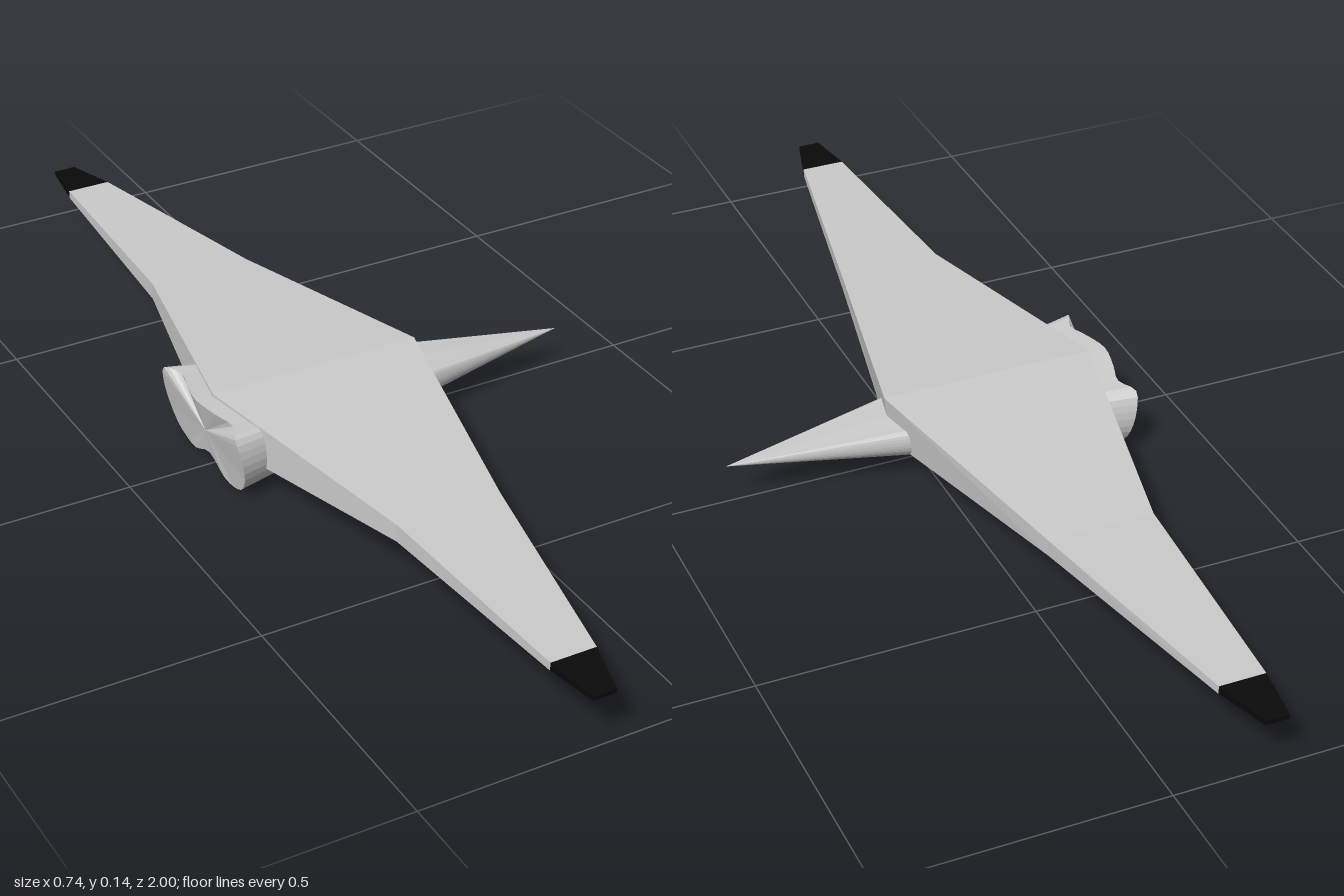
import * as THREE from 'three';

// Skin a list of rings (each an array of Vector3), closing both ends with fans
function loft(rings) {
  const pos = [];
  const tri = (...pts) => pts.forEach((p) => pos.push(p.x, p.y, p.z));
  const n = rings[0].length;
  for (let i = 0; i < rings.length - 1; i++) {
    for (let j = 0; j < n; j++) {
      const k = (j + 1) % n;
      const a = rings[i][j], b = rings[i][k], c = rings[i + 1][k], d = rings[i + 1][j];
      tri(a, b, c);
      tri(a, c, d);
    }
  }
  const cap = (ring, flip) => {
    const mid = ring.reduce((s, p) => s.add(p), new THREE.Vector3()).divideScalar(n);
    ring.forEach((p, j) => {
      const q = ring[(j + 1) % n];
      if (flip) tri(mid, q, p); else tri(mid, p, q);
    });
  };
  cap(rings[0], true);
  cap(rings[rings.length - 1], false);
  const geo = new THREE.BufferGeometry();
  geo.setAttribute('position', new THREE.Float32BufferAttribute(pos, 3));
  geo.computeVertexNormals();
  return geo;
}

// Four-cornered wing section: rear x, lower and upper front x, lower and upper y
function section(z, rear, frontLow, frontTop, low, top) {
  return [
    new THREE.Vector3(rear, low, z), new THREE.Vector3(frontLow, low, z),
    new THREE.Vector3(frontTop, top, z), new THREE.Vector3(rear, top, z),
  ];
}

export function createModel() {
  const group = new THREE.Group();
  const grey = new THREE.MeshStandardMaterial({ color: 0xcccccc, flatShading: true });
  const black = new THREE.MeshStandardMaterial({ color: 0x0a0a0a, flatShading: true });
  const add = (name, geo, mat) => {
    const mesh = new THREE.Mesh(geo, mat);
    mesh.name = name;
    group.add(mesh);
  };

  // Wing sections from root to tip
  const root = [-0.335, 0.055, 0.067, 0.047, 0.14];
  const middle = [-0.235, -0.04, -0.038, 0.077, 0.11];
  const outer = [-0.21, -0.126, -0.126, 0.086, 0.101];
  const tip = [-0.197, -0.155, -0.155, 0.09, 0.098];

  // One continuous wing running along z
  add('wing', loft([
    section(-0.9, ...outer), section(-0.46, ...middle), section(0, ...root),
    section(0.47, ...middle), section(0.9, ...outer),
  ]), grey);

  // Dark wing tips
  add('rightWingTip', loft([section(-1, ...tip), section(-0.9, ...outer)]), black);
  add('leftWingTip', loft([section(0.9, ...outer), section(1, ...tip)]), black);

  // Lobed tail outline: half of it as [x, y, z], mirrored across z = 0
  const half = [
    [-0.345, 0.004, -0.055], [-0.343, 0.001, -0.085], [-0.345, 0.015, -0.122],
    [-0.35, 0.05, -0.148], [-0.358, 0.095, -0.153], [-0.362, 0.13, -0.14],
    [-0.346, 0.132, -0.1], [-0.358, 0.135, -0.055],
  ];
  const outline = [
    [-0.345, 0.024, 0], ...half, [-0.368, 0.138, 0],
    ...half.map(([x, y, z]) => [x, y, -z]).reverse(),
  ].map((p) => new THREE.Vector3(...p));
  const curve = new THREE.CatmullRomCurve3(outline, true);
  const base = curve.getPoints(54).slice(0, -1);

  // Body tapering straight from the lobed tail to a pointed nose
  const nose = new THREE.Vector3(0.368, 0.075, 0);
  add('body', loft([base, base.map(() => nose)]), grey);

  return group;
}
